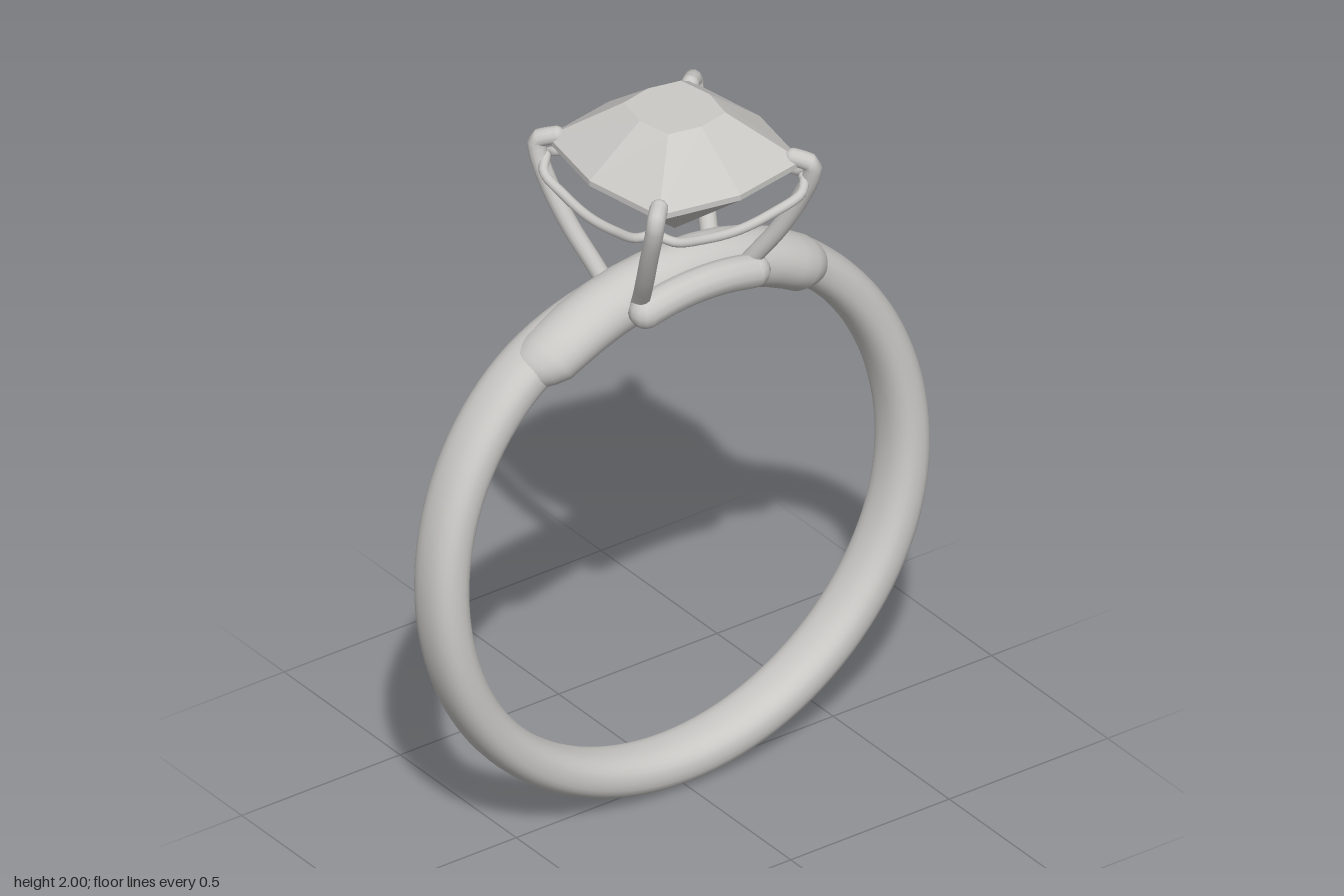
import * as THREE from 'three';

const CY = 0.785; // centre height of the band
const rad = THREE.MathUtils.degToRad;
const smooth = THREE.MathUtils.smoothstep;

// Sweep oval sections around the finger axis: deg from top, r = centre radius,
// z = sideways offset, hr / hz = radial and sideways half sizes, e = roundness power
function sweep(sections, closed, e = 1, sides = 28) {
  const pos = [], idx = [], n = sections.length;
  const pw = (v) => Math.sign(v) * Math.pow(Math.abs(v), e);
  for (const s of sections) {
    const p = rad(s.deg);
    for (let j = 0; j < sides; j++) {
      const a = (j / sides) * Math.PI * 2;
      const R = s.r + s.hr * pw(Math.cos(a));
      pos.push(R * Math.sin(p), CY + R * Math.cos(p), s.z + s.hz * pw(Math.sin(a)));
    }
  }
  for (let i = 0; i < (closed ? n : n - 1); i++) {
    for (let j = 0; j < sides; j++) {
      const i2 = (i + 1) % n, j2 = (j + 1) % sides;
      const a = i * sides + j, b = i * sides + j2, c = i2 * sides + j, d = i2 * sides + j2;
      idx.push(a, b, c, b, d, c);
    }
  }
  const g = new THREE.BufferGeometry();
  g.setAttribute('position', new THREE.Float32BufferAttribute(pos, 3));
  g.setIndex(idx);
  g.computeVertexNormals();
  return g;
}

// Faceted gem: stacked eight-sided rings closed by a flat table and a point
function gemGeometry() {
  const ring = (mx, mz, cx, cz, y) => [
    [0, mz], [cx, cz], [mx, 0], [cx, -cz], [0, -mz], [-cx, -cz], [-mx, 0], [-cx, cz],
  ].map(([x, z]) => [x, y, z]);
  const rings = [
    ring(0, 0, 0, 0, 2.0),
    ring(0.11, 0.115, 0.09, 0.096, 2.0),
    ring(0.268, 0.283, 0.226, 0.24, 1.878),
    ring(0.268, 0.283, 0.226, 0.24, 1.862),
    ring(0, 0, 0, 0, 1.64),
  ];
  const pos = [];
  for (let i = 0; i < rings.length - 1; i++) {
    for (let j = 0; j < 8; j++) {
      const k = (j + 1) % 8;
      const a = rings[i][j], b = rings[i][k], c = rings[i + 1][j], d = rings[i + 1][k];
      if (i > 0) pos.push(...a, ...c, ...b);
      if (i < rings.length - 2) pos.push(...b, ...c, ...d);
    }
  }
  const g = new THREE.BufferGeometry();
  g.setAttribute('position', new THREE.Float32BufferAttribute(pos, 3));
  g.computeVertexNormals();
  return g;
}

export function createModel() {
  const model = new THREE.Group();
  const metal = new THREE.MeshStandardMaterial({ color: 0xc9c8c5 });
  metal.name = 'polished metal';
  const stone = new THREE.MeshStandardMaterial({ color: 0xcac9c6 });
  stone.name = 'clear stone';

  const add = (name, geo, mat, parent = model) => {
    const m = new THREE.Mesh(geo, mat);
    m.name = name;
    parent.add(m);
    return m;
  };

  // Round wire with domed ends
  const wire = (name, pts, radius, parent = model) => {
    const g = new THREE.Group();
    g.name = name;
    const v = pts.map((p) => new THREE.Vector3(...p));
    add(name + 'Rod', new THREE.TubeGeometry(new THREE.CatmullRomCurve3(v), 32, radius, 12), metal, g);
    for (const end of [v[0], v[v.length - 1]]) {
      add(name + 'End', new THREE.SphereGeometry(radius, 12, 8), metal, g).position.copy(end);
    }
    parent.add(g);
  };

  // Band, drifting to the back near the shoulders
  const band = [];
  for (let i = 0; i < 120; i++) {
    const deg = i * 3, f = deg > 180 ? 360 - deg : deg;
    const z = f < 42 ? -0.042 * smooth(f, 0, 42) : -0.042 * (1 - smooth(f, 42, 115));
    band.push({ deg, r: 0.726, z, hr: 0.059, hz: 0.08 });
  }
  add('band', sweep(band, true, 0.85), metal);

  // Thicker bridge across the top, with tapered ends
  const half = [
    [0, 0.725, 0.08, 0.083, 0], [6, 0.725, 0.08, 0.084, -0.001], [12, 0.725, 0.079, 0.086, -0.003],
    [18, 0.724, 0.078, 0.088, -0.005], [24, 0.723, 0.076, 0.09, -0.007], [29, 0.722, 0.074, 0.09, -0.009],
    [33, 0.722, 0.073, 0.088, -0.011], [36, 0.724, 0.063, 0.076, -0.018],
    [39, 0.726, 0.048, 0.056, -0.028], [42, 0.727, 0.001, 0.001, -0.04],
  ].map(([deg, r, hr, hz, z]) => ({ deg, r, hr, hz, z }));
  const mirrored = half.slice(1).reverse().map((s) => ({ ...s, deg: -s.deg }));
  add('bridge', sweep([...mirrored, ...half], false), metal);

  // Small curved bar on the front of the bridge
  wire('frontBar', [-0.17, -0.085, 0, 0.085, 0.17].map((x) => [x, 1.525 - 0.7 * x * x, 0.107]), 0.045);

  // Setting: four curved claws hooked over the corners of the stone
  const setting = new THREE.Group();
  setting.name = 'setting';
  model.add(setting);
  for (const sx of [-1, 1]) {
    for (const sz of [-1, 1]) {
      const path = [
        [0.165, 1.5, 0.07], [0.18, 1.55, 0.103], [0.21, 1.64, 0.16], [0.235, 1.74, 0.212],
        [0.248, 1.83, 0.25], [0.247, 1.868, 0.256], [0.233, 1.878, 0.242], [0.212, 1.885, 0.222],
      ];
      wire('claw', path.map(([x, y, z]) => [sx * x, y, sz * z]), 0.024, setting);
    }
  }

  // Thin dipping wires that link neighbouring claws
  const dip = [[-0.235, 1.825, 0.24], [-0.2, 1.805, 0.272], [-0.11, 1.782, 0.275], [0, 1.772, 0.278],
    [0.11, 1.782, 0.275], [0.2, 1.805, 0.272], [0.235, 1.825, 0.24]];
  for (const s of [-1, 1]) {
    wire('basketWire', dip.map(([x, y, z]) => [x, y, s * z]), 0.013, setting);
    wire('basketWire', dip.map(([x, y, z]) => [s * (z - 0.006), y, x]), 0.013, setting);
  }

  // Cushion-shaped stone
  add('stone', gemGeometry(), stone);

  return model;
}
